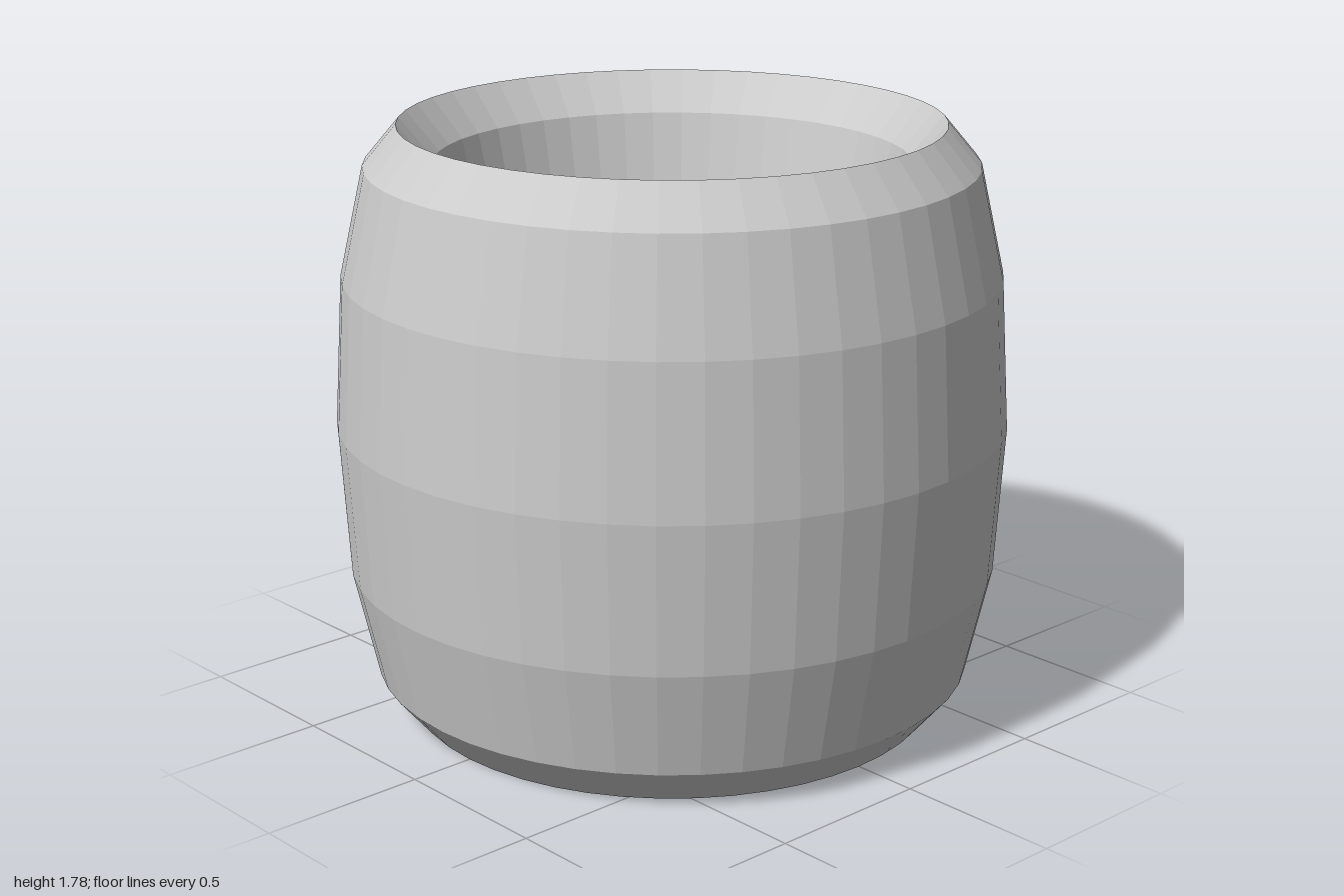
import * as THREE from 'three';

export function createModel() {
  const group = new THREE.Group();
  group.name = 'barrelBead';

  // Ring with a 12-sided section, laid flat and stretched upward into a tall open barrel
  const ringRadius = 0.8, wallRadius = 0.2, height = 1.78;
  const geometry = new THREE.TorusGeometry(ringRadius, wallRadius, 12, 48);
  geometry.rotateX(-Math.PI / 2);
  geometry.scale(1, height / (2 * wallRadius), 1);
  geometry.translate(0, height / 2, 0);

  const ring = new THREE.Mesh(
    geometry,
    new THREE.MeshStandardMaterial({ color: 0xcccccc, flatShading: true })
  );
  ring.name = 'barrelRing';
  group.add(ring);
  return group;
}
